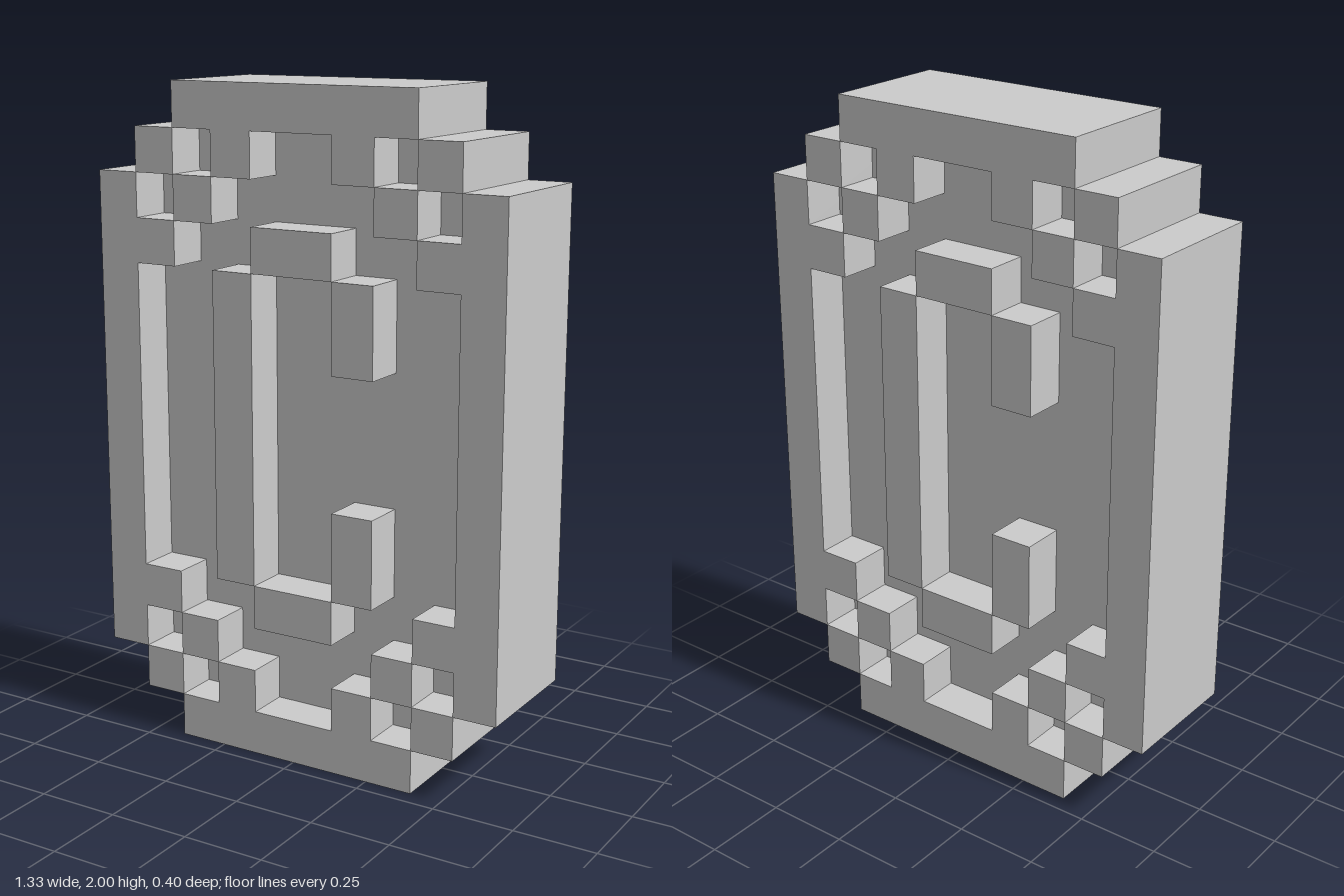
import * as THREE from 'three';

const U = 2 / 15; // one block; shapes below are in blocks measured from the centre
const material = new THREE.MeshStandardMaterial({ color: 0xcccccc, flatShading: true });

// Mirrors a stepped top-right quarter outline into all four quarters
function fourfold(quarter) {
  const back = [...quarter].reverse();
  return [
    ...quarter,
    ...back.map(([x, y]) => [-x, y]),
    ...quarter.map(([x, y]) => [-x, -y]),
    ...back.map(([x, y]) => [x, -y]),
  ].map(([x, y]) => new THREE.Vector2(x * U, y * U));
}

// Square pocket, a hair undersized so diagonal neighbours do not touch
function pocket(x, y) {
  const h = 0.496;
  return new THREE.Path([[-h, -h], [h, -h], [h, h], [-h, h]]
    .map(([dx, dy]) => new THREE.Vector2((x + dx) * U, (y + dy) * U)));
}

function slab(name, shape, depth) {
  const geometry = new THREE.ExtrudeGeometry(shape, { depth: depth * U, bevelEnabled: false });
  geometry.translate(0, 0, -depth * U / 2);
  const mesh = new THREE.Mesh(geometry, material);
  mesh.name = name;
  return mesh;
}

// Raised bracket-shaped relief standing on the recessed panel
function createRelief(name) {
  const relief = new THREE.Group();
  relief.name = name;
  const bars = [
    ['reliefUpright', -2, -3.5, 1, 7],
    ['reliefTopBar', -1, 3.5, 2, 1],
    ['reliefBottomBar', -1, -4.5, 2, 1],
    ['reliefUpperTip', 1, 1.5, 1, 2],
    ['reliefLowerTip', 1, -3.5, 1, 2],
  ];
  for (const [part, x, y, w, h] of bars) {
    const bar = new THREE.Mesh(new THREE.BoxGeometry(w * U, h * U, U), material);
    bar.position.set((x + w / 2) * U, (y + h / 2) * U, U);
    bar.name = part;
    relief.add(bar);
  }
  return relief;
}

export function createModel() {
  const coin = new THREE.Group();
  coin.name = 'blockCoin';

  // Stepped rim with the large recess and the corner pockets cut out
  const rim = new THREE.Shape(fourfold([[5, 5.5], [4, 5.5], [4, 6.5], [3, 6.5], [3, 7.5]]));
  rim.holes.push(new THREE.Path(fourfold(
    [[4, 3.5], [3, 3.5], [3, 4.5], [2, 4.5], [2, 5.5], [1, 5.5], [1, 6.5]])));
  for (const sx of [-1, 1]) {
    for (const sy of [-1, 1]) {
      rim.holes.push(pocket(sx * 2.5, sy * 6), pocket(sx * 3.5, sy * 5));
    }
  }
  coin.add(slab('rim', rim, 3));

  // Thin panel closing the recesses halfway through the rim
  coin.add(slab('innerPanel', new THREE.Shape(fourfold([[4, 5.5], [3, 5.5], [3, 6.5]])), 1));

  // The same relief on both faces
  const backRelief = createRelief('backRelief');
  backRelief.rotation.y = Math.PI;
  coin.add(createRelief('frontRelief'), backRelief);

  for (const part of coin.children) part.position.y = 1;
  return coin;
}
